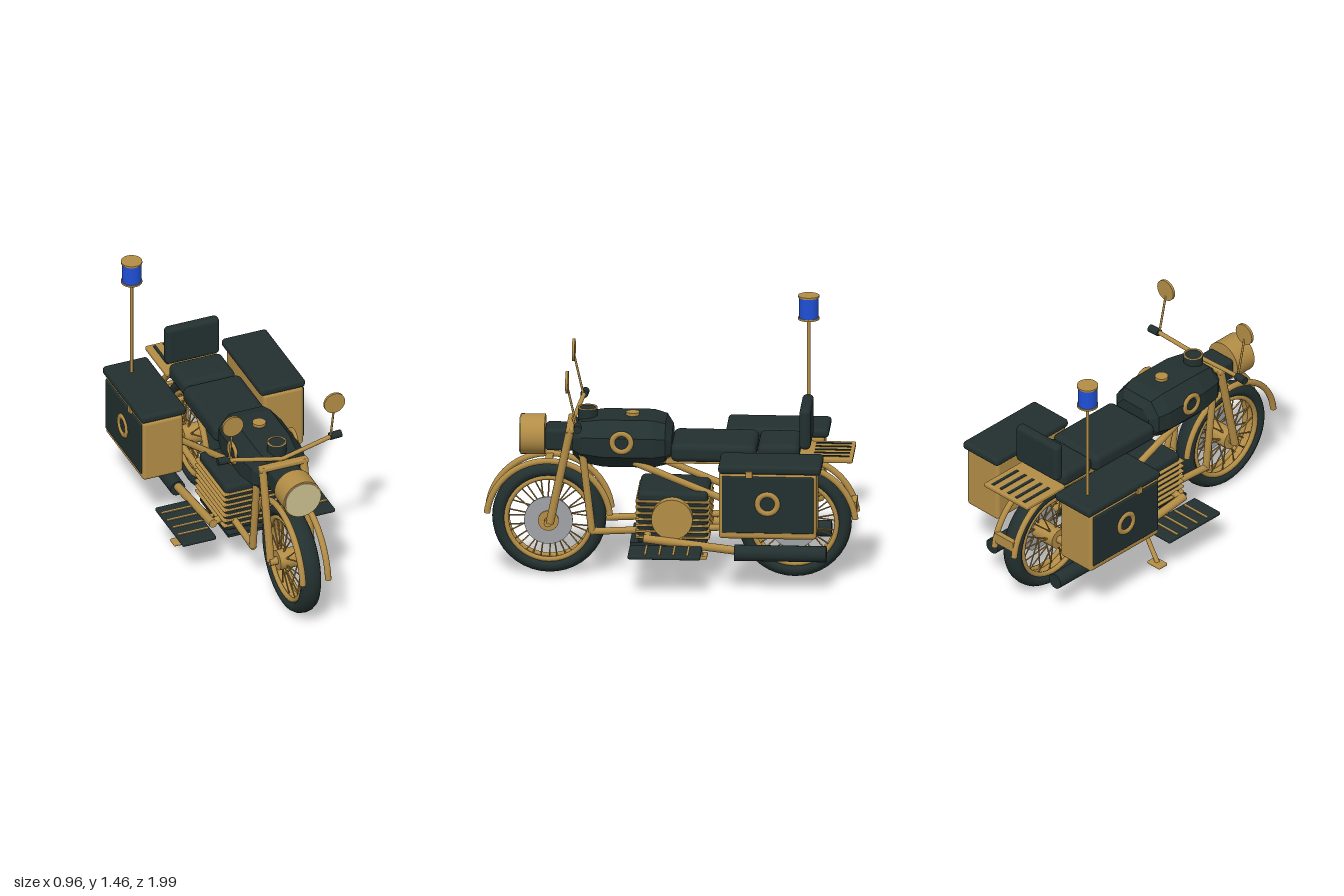
import * as THREE from 'three';
import { RoundedBoxGeometry } from 'three/addons/geometries/RoundedBoxGeometry.js';
import { mergeGeometries } from 'three/addons/utils/BufferGeometryUtils.js';

const mat = (name, color, side = THREE.FrontSide) => {
  const m = new THREE.MeshStandardMaterial({ color, side });
  m.name = name;
  return m;
};

export function createModel() {
  const brass = mat('brass', 0xb38d46);
  const dark = mat('dark green black', 0x22302f);
  const steel = mat('steel', 0xa0a3a6);
  const blue = mat('beacon blue', 0x1f4fd6);
  const glass = mat('lamp glass', 0xcbbf90);

  const bike = new THREE.Group();
  bike.name = 'motorcycle';
  const V = (x, y, z) => new THREE.Vector3(x, y, z);

  // Helpers
  const add = (name, geo, material, x = 0, y = 0, z = 0, parent = bike) => {
    const m = new THREE.Mesh(geo, material);
    m.name = name;
    m.position.set(x, y, z);
    parent.add(m);
    return m;
  };
  // Box given by its limits on each axis
  const box = (name, material, [x0, x1], [y0, y1], [z0, z1], r = 0, parent = bike) => {
    const s = [x1 - x0, y1 - y0, z1 - z0];
    const geo = r ? new RoundedBoxGeometry(...s, 3, r) : new THREE.BoxGeometry(...s);
    return add(name, geo, material, (x0 + x1) / 2, (y0 + y1) / 2, (z0 + z1) / 2, parent);
  };
  const rodGeo = (a, b, r, sides = 12) => {
    const d = b.clone().sub(a);
    const g = new THREE.CylinderGeometry(r, r, d.length(), sides);
    g.applyQuaternion(new THREE.Quaternion().setFromUnitVectors(V(0, 1, 0), d.normalize()));
    return g.translate((a.x + b.x) / 2, (a.y + b.y) / 2, (a.z + b.z) / 2);
  };
  const rod = (name, material, a, b, r, sides, parent = bike) => add(name, rodGeo(a, b, r, sides), material, 0, 0, 0, parent);
  const badge = (name, x, y, z, r, tube) =>
    add(name, new THREE.TorusGeometry(r, tube, 8, 28).rotateY(Math.PI / 2).scale(0.7, 1, 1), brass, x, y, z);

  // Wheels
  const AXLE = 0.312, ZF = 0.655, ZR = -0.652;
  const tyreProfile = [[0.232, -0.035], [0.25, -0.054], [0.268, -0.057], [0.286, -0.048], [0.3, -0.026], [0.304, 0],
    [0.3, 0.026], [0.286, 0.048], [0.268, 0.057], [0.25, 0.054], [0.232, 0.035], [0.232, -0.035]]
    .map(p => new THREE.Vector2(...p));
  const makeWheel = (name, z) => {
    const w = new THREE.Group();
    w.name = name;
    w.position.set(0, AXLE, z);
    bike.add(w);
    add('tyre', new THREE.LatheGeometry(tyreProfile, 40).rotateZ(-Math.PI / 2), dark, 0, 0, 0, w);
    for (const s of [-1, 1])
      add('rim', new THREE.TorusGeometry(0.227, 0.014, 8, 40).rotateY(Math.PI / 2), brass, s * 0.036, 0, 0, w);
    add('rimBand', new THREE.CylinderGeometry(0.229, 0.229, 0.07, 40, 1, true).rotateZ(Math.PI / 2),
      rimMat, 0, 0, 0, w);
    rod('hub', brass, V(-0.085, 0, 0), V(0.085, 0, 0), 0.055, 24, w);
    rod('axle', brass, V(-0.13, 0, 0), V(0.13, 0, 0), 0.022, 12, w);
    rod('brakeDisc', steel, V(0.062, 0, 0), V(0.076, 0, 0), 0.13, 32, w);
    const spokes = [];
    for (let i = 0; i < 32; i++) {
      const a = i * Math.PI / 16, s = i % 2 ? 1 : -1, b = a + (i % 4 < 2 ? 0.22 : -0.22);
      spokes.push(rodGeo(V(s * 0.05, 0.05 * Math.cos(b), 0.05 * Math.sin(b)),
        V(s * 0.015, 0.226 * Math.cos(a), 0.226 * Math.sin(a)), 0.004, 6));
    }
    add('spokes', mergeGeometries(spokes), brass, 0, 0, 0, w);
  };
  const rimMat = mat('brass open', 0xb38d46, THREE.DoubleSide);
  makeWheel('frontWheel', ZF);
  makeWheel('rearWheel', ZR);

  // Twin rail mudguards
  for (const [name, z] of [['frontMudguard', ZF], ['rearMudguard', ZR]]) {
    for (const s of [-1, 1])
      add(name, new THREE.TorusGeometry(0.329, 0.017, 10, 32, Math.PI * 0.93).rotateZ(Math.PI * 0.035)
        .rotateY(Math.PI / 2), brass, s * 0.073, AXLE, z);
    box(name + 'Bridge', brass, [-0.07, 0.07], [AXLE + 0.318, AXLE + 0.334], [z - 0.02, z + 0.02]);
  }
  box('tailBracket', brass, [-0.07, 0.07], [0.38, 0.44], [-0.985, -0.955]);

  // Frame, fork and exhaust, mirrored
  for (const s of [-1, 1]) {
    const x = s * 0.125;
    rod('fork', brass, V(s * 0.118, 0.31, 0.645), V(s * 0.118, 0.84, 0.535), 0.022);
    rod('downTube', brass, V(x, 0.7, 0.47), V(x, 0.27, 0.42), 0.02);
    rod('lowerTube', brass, V(x, 0.27, 0.43), V(x, AXLE + 0.015, ZR), 0.019);
    rod('upperTube', brass, V(x, 0.66, 0.2), V(x, AXLE, ZR), 0.019);
    rod('exhaustPipe', brass, V(s * 0.235, 0.27, 0.14), V(s * 0.235, 0.21, -0.37), 0.023);
    rod('exhaustElbow', brass, V(s * 0.14, 0.29, 0.12), V(s * 0.235, 0.268, 0.12), 0.02);
    rod('silencer', dark, V(s * 0.235, 0.2, -0.345), V(s * 0.235, 0.2, -0.835), 0.043, 20);

    // Handlebar, grip and mirror
    rod('handlebar', brass, V(0, 0.858, 0.525), V(s * 0.31, 0.905, 0.487), 0.012);
    rod('grip', dark, V(s * 0.29, 0.904, 0.487), V(s * 0.355, 0.904, 0.483), 0.021, 16);
    rod('mirrorStem', brass, V(s * 0.293, 0.9, 0.49), V(s * 0.293, 1.12, 0.54), 0.006, 8);
    rod('mirror', brass, V(s * 0.293, 1.15, 0.535), V(s * 0.293, 1.15, 0.549), 0.06, 28);

    // Footboard with grip strips
    const span = (a, b) => (s > 0 ? [a, b] : [-b, -a]);
    box('footboard', dark, span(0.245, 0.44), [0.213, 0.237], [-0.175, 0.212], 0.01);
    for (let i = 0; i < 4; i++) {
      const z = 0.12 - i * 0.075;
      box('footboardStrip', brass, span(0.258, 0.43), [0.236, 0.241], [z - 0.006, z + 0.006]);
    }
    rod('footboardArm', brass, V(s * 0.12, 0.225, 0), V(s * 0.26, 0.225, 0), 0.012);

    // Side case
    box('sideCase', brass, span(0.232, 0.464), [0.345, 0.71], [-0.795, -0.275], 0.02);
    box('sideCasePanel', dark, span(0.455, 0.472), [0.382, 0.695], [-0.78, -0.292], 0.008);
    box('sideCaseLid', dark, span(0.213, 0.474), [0.706, 0.755], [-0.82, -0.272], 0.02);
    box('sideCaseLatch', brass, span(0.465, 0.48), [0.69, 0.726], [-0.455, -0.42]);
    badge('sideCaseRing', s * 0.472, 0.545, -0.535, 0.053, 0.015);
    rod('sideCaseMount', brass, V(s * 0.1, 0.62, -0.55), V(s * 0.24, 0.62, -0.55), 0.014);
    badge('tankRing', s * 0.174, 0.78, 0.26, 0.05, 0.015);
  }

  // Steering head, headlamp and gauge
  box('steeringHead', dark, [-0.085, 0.085], [0.7, 0.82], [0.5, 0.675], 0.02);
  box('forkYoke', brass, [-0.14, 0.14], [0.815, 0.845], [0.515, 0.56], 0.01);
  rod('headlamp', brass, V(0, 0.769, 0.675), V(0, 0.769, 0.805), 0.108, 36);
  rod('headlampGlass', glass, V(0, 0.769, 0.8), V(0, 0.769, 0.811), 0.1, 36);
  rod('gauge', dark, V(0, 0.83, 0.45), V(0, 0.922, 0.45), 0.053, 24);
  add('gaugeRing', new THREE.TorusGeometry(0.048, 0.005, 8, 28).rotateX(Math.PI / 2), brass, 0, 0.922, 0.45);

  // Fuel tank: eight-sided cross-sections [z, half width, bottom, top]
  const sections = [[0.525, 0.12, 0.68, 0.83], [0.48, 0.155, 0.645, 0.87], [0.36, 0.175, 0.625, 0.886],
    [0.1, 0.175, 0.625, 0.886], [0.03, 0.158, 0.64, 0.868], [-0.005, 0.115, 0.68, 0.82]];
  const rings = sections.map(([z, w, b, t]) => {
    const h = t - b;
    return [[-0.6, 0], [0.6, 0], [1, 0.28], [1, 0.68], [0.62, 1], [-0.62, 1], [-1, 0.68], [-1, 0.28]]
      .map(([u, v]) => [u * w, b + v * h, z]);
  });
  const pos = [];
  for (let i = 0; i < rings.length - 1; i++)
    for (let j = 0; j < 8; j++) {
      const k = (j + 1) % 8, [a, b, c, d] = [rings[i][j], rings[i][k], rings[i + 1][k], rings[i + 1][j]];
      pos.push(...a, ...d, ...c, ...a, ...c, ...b);
    }
  const first = rings[0], last = rings[rings.length - 1];
  for (let j = 1; j < 7; j++) {
    pos.push(...first[0], ...first[j], ...first[j + 1]);
    pos.push(...last[0], ...last[j + 1], ...last[j]);
  }
  const tank = new THREE.BufferGeometry();
  tank.setAttribute('position', new THREE.Float32BufferAttribute(pos, 3));
  tank.computeVertexNormals();
  add('fuelTank', tank, dark);
  rod('fuelCap', brass, V(0, 0.88, 0.21), V(0, 0.902, 0.21), 0.036, 20);

  // Seats, backrest and rack
  box('riderSeat', dark, [-0.168, 0.168], [0.672, 0.772], [-0.455, 0.0], 0.035);
  box('passengerSeat', dark, [-0.153, 0.153], [0.68, 0.775], [-0.685, -0.46], 0.035);
  box('backrest', dark, [-0.155, 0.155], [0.75, 0.975], [-0.745, -0.685], 0.025);
  box('seatRail', brass, [-0.12, 0.12], [0.655, 0.685], [-0.8, 0.05]);
  box('rack', brass, [-0.162, 0.162], [0.684, 0.71], [-0.97, -0.68], 0.008);
  for (let i = -2; i <= 2; i++)
    box('rackSlot', dark, [i * 0.058 - 0.009, i * 0.058 + 0.009], [0.708, 0.713], [-0.95, -0.76]);

  // Engine with cooling fins and a round cover on the left
  box('engineBlock', dark, [-0.178, 0.178], [0.22, 0.51], [-0.2, 0.175], 0.025);
  for (let i = 0; i < 7; i++) {
    const y = 0.262 + i * 0.033;
    box('coolingFin', brass, [-0.195, 0.195], [y - 0.006, y + 0.006], [-0.21, 0.185], 0.005);
  }
  rod('engineCover', brass, V(0.17, 0.375, -0.012), V(0.232, 0.375, -0.012), 0.11, 32);
  box('skidPlate', dark, [-0.18, 0.18], [0.213, 0.23], [-0.17, 0.215]);

  // Side stand
  rod('sideStand', brass, V(-0.12, 0.235, -0.1), V(-0.31, 0.015, -0.135), 0.013);
  box('sideStandFoot', brass, [-0.356, -0.264], [0.003, 0.021], [-0.168, -0.105], 0.007);

  // Beacon on its pole
  rod('beaconPole', brass, V(-0.35, 0.74, -0.705), V(-0.35, 1.34, -0.705), 0.009);
  rod('beaconLamp', blue, V(-0.35, 1.335, -0.705), V(-0.35, 1.452, -0.705), 0.052, 28);
  for (const y of [1.332, 1.454]) rod('beaconCap', brass, V(-0.35, y - 0.005, -0.705), V(-0.35, y + 0.005, -0.705), 0.057, 28);

  return bike;
}
